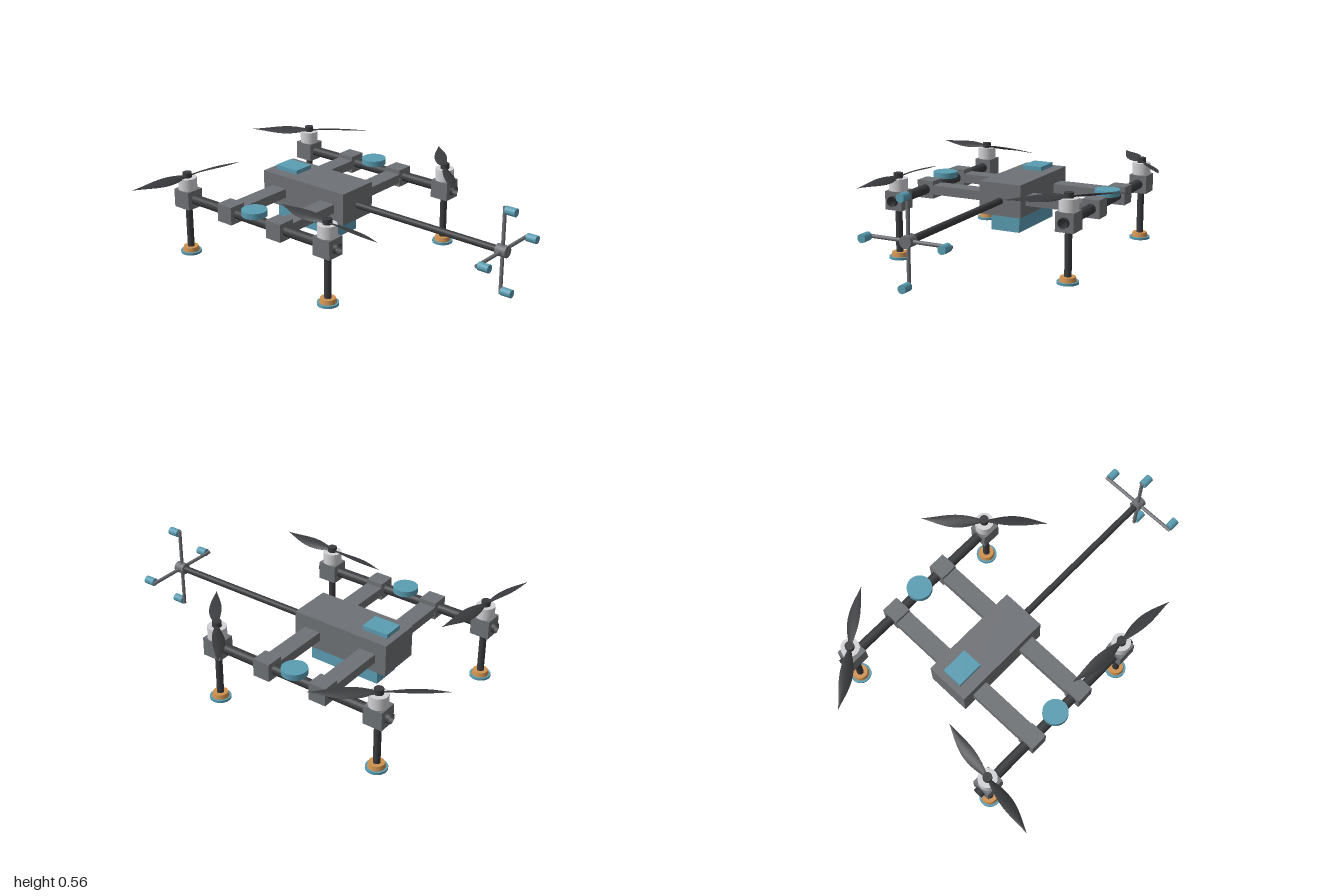
import * as THREE from 'three';

const paint = (name, color, side = THREE.FrontSide) => {
  const m = new THREE.MeshStandardMaterial({ color, side });
  m.name = name;
  return m;
};

export function createModel() {
  const grey = paint('frameGrey', 0x6e7175);
  const dark = paint('carbonDark', 0x3a3b3e, THREE.DoubleSide);
  const teal = paint('tealAccent', 0x5a9db3);
  const orange = paint('orangeDamper', 0xcf9150);
  const silver = paint('motorSilver', 0xd2d2d6);

  const drone = new THREE.Group();
  drone.name = 'quadcopter';
  const midZ = -0.04, axisY = 0.32;
  const motorX = [-0.733, 0.245], railZ = [-0.53, 0.45], armX = [-0.414, -0.073];

  const add = (parent, name, geometry, material, x, y, z) => {
    const mesh = new THREE.Mesh(geometry, material);
    mesh.name = name;
    mesh.position.set(x, y, z);
    parent.add(mesh);
    return mesh;
  };
  const box = (w, h, d) => new THREE.BoxGeometry(w, h, d);
  const rod = (r, len, open = false) => new THREE.CylinderGeometry(r, r, len, 32, 1, open);
  const rodX = (r, len, open) => rod(r, len, open).rotateZ(Math.PI / 2);

  // Block with a round bore along x, so the rail passes through
  const boredBlock = (w, size) => {
    const h = size / 2;
    const shape = new THREE.Shape([[-h, -h], [h, -h], [h, h], [-h, h]].map(p => new THREE.Vector2(...p)));
    shape.holes.push(new THREE.Path().absarc(0, 0, 0.028, 0, Math.PI * 2, true));
    return new THREE.ExtrudeGeometry(shape, { depth: w, bevelEnabled: false, curveSegments: 16 })
      .translate(0, 0, -w / 2).rotateY(Math.PI / 2);
  };

  // Twisted leaf-shaped blade pointing along +x
  const bladeGeometry = () => {
    const length = 0.332;
    const g = new THREE.BoxGeometry(1, 1, 1, 20, 1, 6);
    const p = g.attributes.position;
    for (let i = 0; i < p.count; i++) {
      const t = p.getX(i) + 0.5, side = p.getZ(i) * 2;
      const chord = 0.014 * (1 - t) + 0.058 * Math.pow(Math.sin(Math.PI * Math.pow(t, 0.85)), 1.2) + 0.002;
      const pitch = 0.5 - 0.4 * t;
      const c = side * chord / 2;
      const thick = p.getY(i) * 0.008 * (1 - 0.8 * t) * (1 - 0.8 * side * side);
      const y = thick + 0.004 * (1 - side * side) * Math.sin(Math.PI * t);
      p.setXYZ(i, 0.01 + t * (length - 0.01),
        y * Math.cos(pitch) + c * Math.sin(pitch),
        c * Math.cos(pitch) - y * Math.sin(pitch) - 0.008 * Math.sin(Math.PI * t));
    }
    g.computeVertexNormals();
    return g;
  };

  // Central body, battery below, receiver on top
  add(drone, 'body', box(0.56, 0.175, 0.24), grey, -0.245, 0.3275, midZ);
  add(drone, 'battery', box(0.412, 0.1, 0.165), teal, -0.244, 0.19, -0.035);
  add(drone, 'receiver', box(0.148, 0.024, 0.115), teal, -0.415, 0.426, midZ);

  // Cross arms and their rail clamps
  const clamp = boredBlock(0.097, 0.097);
  for (const x of armX) {
    add(drone, 'crossArm', box(0.095, 0.05, 0.884), grey, x, axisY, midZ);
    for (const z of railZ) add(drone, 'railClamp', clamp, grey, x, axisY, z);
  }

  // Hollow side rails with a disc antenna on each
  for (const z of railZ) {
    add(drone, 'rail', rodX(0.0268, 1.125, true), dark, -0.244, axisY, z);
    add(drone, 'discAntenna', rod(0.067, 0.032), teal, -0.244, 0.364, z);
  }

  // Rotor units: motor, propeller, leg and foot
  const blade = bladeGeometry(), block = boredBlock(0.106, 0.1);
  const heading = [
    [[50, -37], [41, 47]],
    [[12, -61], [62, 6]],
  ];
  railZ.forEach((z, row) => motorX.forEach((x, col) => {
    const unit = new THREE.Group();
    unit.name = 'rotorUnit';
    unit.position.set(x, 0, z);
    drone.add(unit);
    add(unit, 'motorMount', block, grey, 0, axisY, 0);
    add(unit, 'motor', rod(0.05, 0.066), silver, 0, 0.402, 0);
    add(unit, 'propellerHub', rod(0.024, 0.03), dark, 0, 0.448, 0);
    const propeller = new THREE.Group();
    propeller.name = 'propeller';
    propeller.position.y = 0.441;
    const [dx, dz] = heading[row][col];
    propeller.rotation.y = Math.atan2(-dz, dx);
    unit.add(propeller);
    for (const turn of [0, Math.PI]) add(propeller, 'blade', blade, dark, 0, 0, 0).rotation.y = turn;
    add(unit, 'leg', rod(0.0185, 0.238), dark, 0, 0.153, 0);
    add(unit, 'footDamper', new THREE.CylinderGeometry(0.04, 0.045, 0.023, 32), orange, 0, 0.0245, 0);
    add(unit, 'footPad', rod(0.056, 0.013), teal, 0, 0.0065, 0);
  }));

  // Side boom carrying a four-way sensor cross
  add(drone, 'boom', rodX(0.018, 0.9), dark, 0.475, axisY, midZ);
  const cross = new THREE.Group();
  cross.name = 'sensorCross';
  cross.position.set(0.935, axisY, midZ);
  drone.add(cross);
  add(cross, 'crossHub', rodX(0.031, 0.058), grey, 0, 0, 0);
  for (let i = 0; i < 4; i++) {
    const spoke = new THREE.Group();
    spoke.name = 'sensorSpoke';
    spoke.rotation.x = i * Math.PI / 2;
    cross.add(spoke);
    add(spoke, 'spokeRod', rod(0.0095, 0.23), grey, 0, 0.115, 0);
    add(spoke, 'sensor', rodX(0.0215, 0.058), teal, 0.036, 0.214, 0);
  }
  return drone;
}
